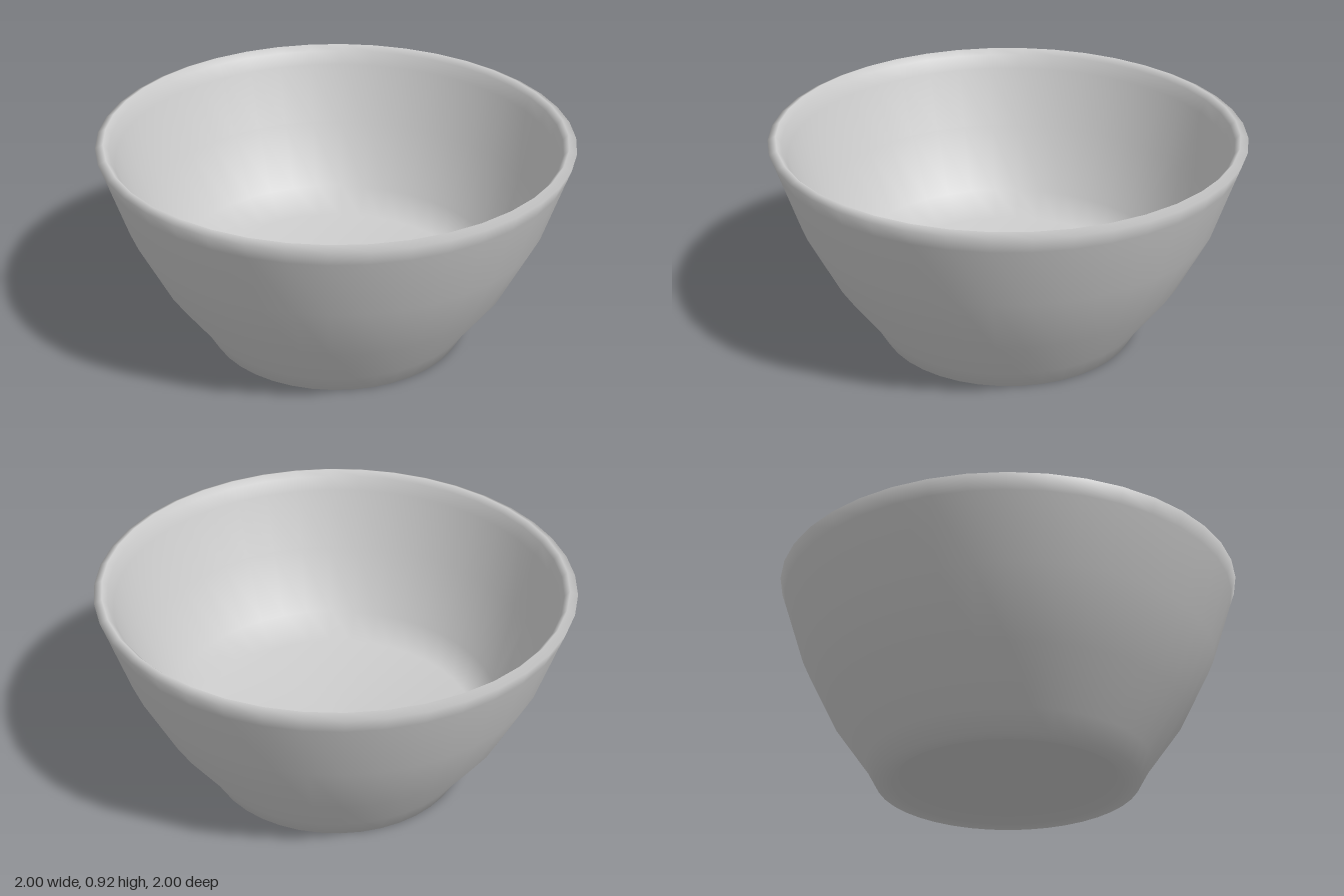
import * as THREE from 'three';

export function createModel() {
  const group = new THREE.Group();
  group.name = 'bowl';
  const ceramic = new THREE.MeshStandardMaterial({ color: 0xcccccc });
  ceramic.name = 'light grey ceramic';

  // One closed section: recessed base, foot ring, outer wall, lip, inner wall, floor
  const profile = [
    [0, 0.03], [0.46, 0.03], [0.49, 0],
    [0.555, 0], [0.605, 0.09], [0.755, 0.3], [0.89, 0.57], [0.978, 0.84], [1, 0.905],
    [0.967, 0.92], [0.945, 0.895], [0.925, 0.835],
    [0.84, 0.58], [0.71, 0.3], [0.61, 0.2], [0, 0.18],
  ].map(([r, y]) => new THREE.Vector2(r, y));

  const body = new THREE.Mesh(new THREE.LatheGeometry(profile, 40), ceramic);
  body.name = 'bowlBody';
  group.add(body);
  return group;
}
